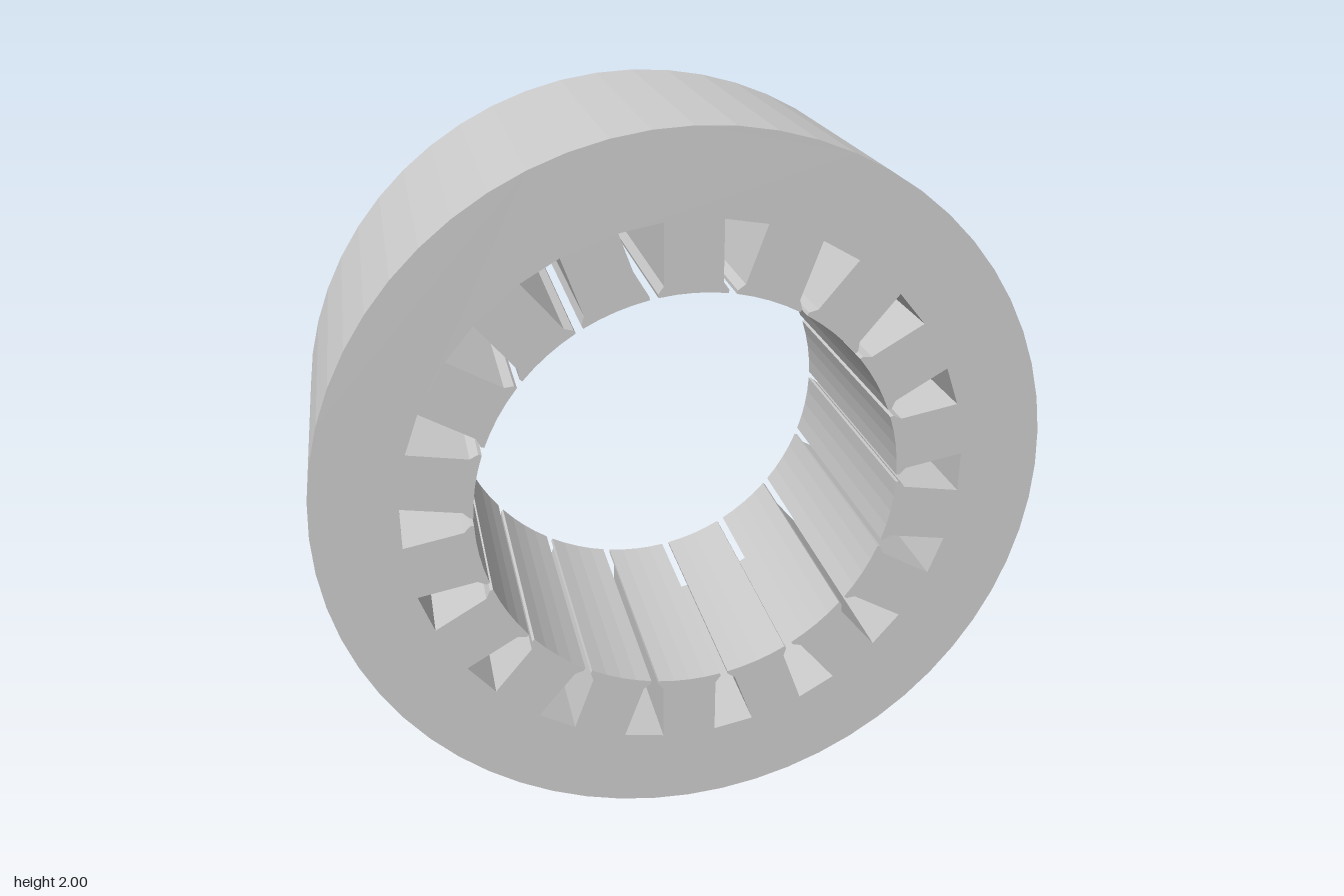
import * as THREE from 'three';

const SLOTS = 18;
const OUTER_R = 1, BORE_R = 0.583, DEPTH = 0.77;
const TOOTH_HALF = 0.077;   // half width of each parallel-sided tooth
const OPENING_HALF = 0.011; // half width of the slot mouth
const SLOT_IN = 0.61, SLOT_OUT = 0.77, LIP = 0.592;
const PITCH = (Math.PI * 2) / SLOTS;

// Half width of a slot at distance x along its axis, so teeth stay parallel-sided
const slotHalf = (x) => (x * Math.sin(PITCH / 2) - TOOTH_HALF) / Math.cos(PITCH / 2);

const polar = (r, a) => new THREE.Vector2(r * Math.cos(a), r * Math.sin(a));

// Bore outline: slots with narrow mouths, joined by the arcs of the tooth tips
function boreOutline() {
  const points = [];
  const mouth = Math.asin(OPENING_HALF / BORE_R);
  const side = [
    [LIP, OPENING_HALF],
    [SLOT_IN, slotHalf(SLOT_IN)],
    [SLOT_OUT, slotHalf(SLOT_OUT)],
  ];
  const slot = [
    ...side.map(([x, y]) => new THREE.Vector2(x, -y)),
    ...side.map(([x, y]) => new THREE.Vector2(x, y)).reverse(),
  ];
  const tipSegments = 4;
  const origin = new THREE.Vector2();
  for (let i = 0; i < SLOTS; i++) {
    const a = i * PITCH;
    slot.forEach((p) => points.push(p.clone().rotateAround(origin, a)));
    for (let j = 0; j <= tipSegments; j++) {
      points.push(polar(BORE_R, a + mouth + ((PITCH - 2 * mouth) * j) / tipSegments));
    }
  }
  return points;
}

export function createModel() {
  const group = new THREE.Group();
  group.name = 'stator';

  // Faceted outer rim
  const rim = Array.from({ length: 60 }, (_, i) => polar(OUTER_R, (i * Math.PI) / 30));
  const section = new THREE.Shape(rim);
  section.holes.push(new THREE.Path(boreOutline()));

  // Slotted ring, extruded along z and stood on the ground
  const geometry = new THREE.ExtrudeGeometry(section, { depth: DEPTH, bevelEnabled: false });
  geometry.translate(0, OUTER_R, -DEPTH / 2);
  const core = new THREE.Mesh(
    geometry,
    new THREE.MeshStandardMaterial({ color: 0xcccccc, flatShading: true })
  );
  core.name = 'slottedCore';
  group.add(core);
  return group;
}
